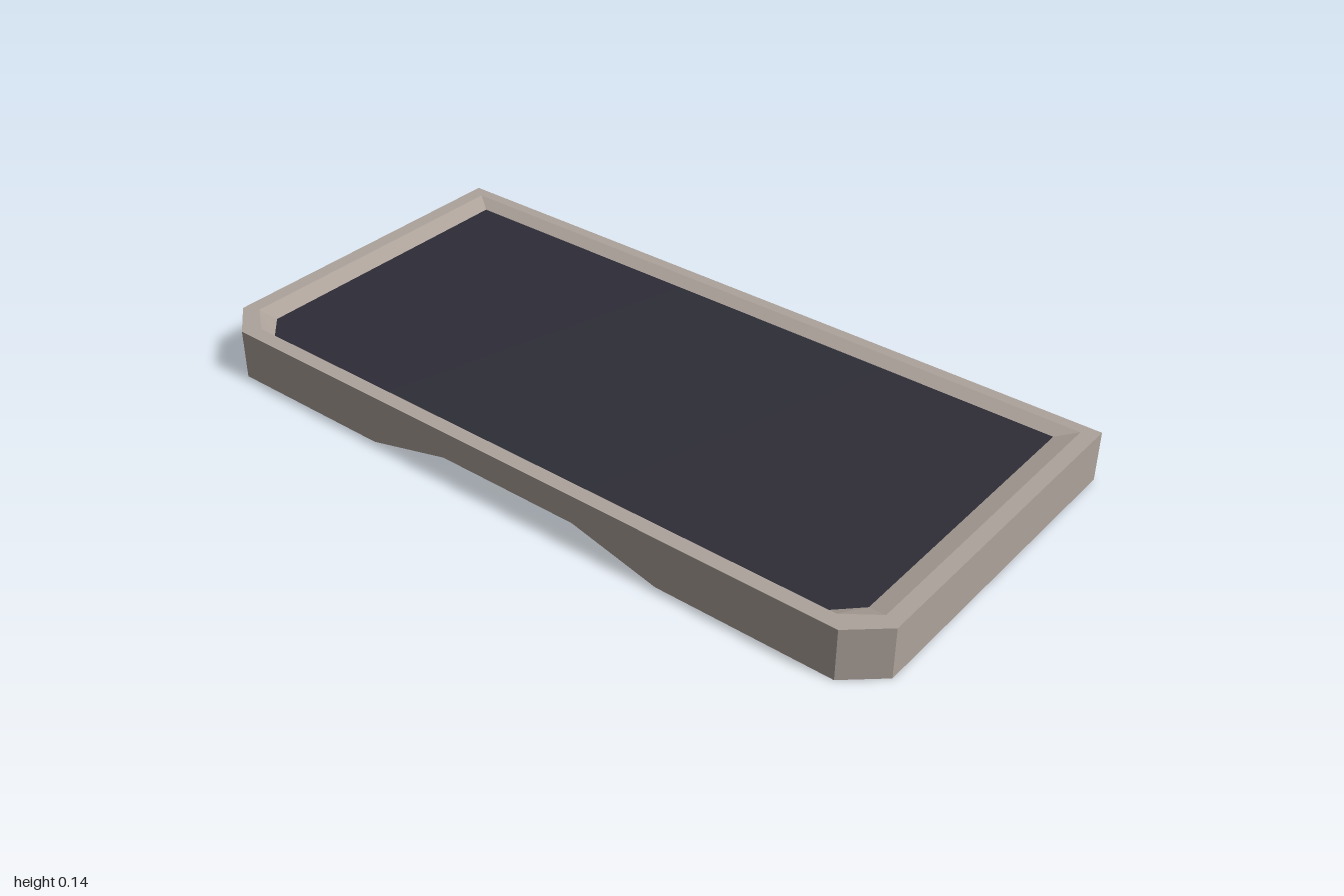
import * as THREE from 'three';

const HEIGHT = 0.135, RECESS = 0.016;

// Underside height: flat feet at both ends with a raised arch between them
const arch = x => 0.06 * THREE.MathUtils.clamp((0.44 - Math.abs(x)) / 0.24, 0, 1);

// Outline of 16 points: front edge left to right with cut corners, then the back edge
function outline(w, cut, back, side, front) {
  const xs = [-w, -cut, -0.44, -0.2, 0.2, 0.44, cut, w];
  const frontEdge = xs.map((x, i) => [x, i === 0 || i === 7 ? side : front]);
  const backEdge = xs.slice().reverse().map(x => [x, back]);
  return [...frontEdge, ...backEdge];
}

const atTop = (loop, drop) => loop.map(([x, z]) => [x, HEIGHT - drop, z]);
const atBottom = (loop, lift) => loop.map(([x, z]) => [x, arch(x) + lift, z]);

// Quads between two outlines, for segments from..to
function band(a, b, from = 0, to = 16) {
  const quads = [];
  for (let i = from; i < to; i++) {
    const j = (i + 1) % 16;
    quads.push([a[i], a[j], b[j], b[i]]);
  }
  return quads;
}

// Fill of an outline, as strips joining the front edge to the back edge
function fill(p) {
  const quads = [];
  for (let i = 0; i < 7; i++) quads.push([p[i], p[i + 1], p[14 - i], p[15 - i]]);
  return quads;
}

function quadMesh(name, quads, material, flip = false) {
  const pos = [];
  for (const q of quads) {
    const [a, b, c, d] = flip ? q.slice().reverse() : q;
    pos.push(...a, ...b, ...c, ...a, ...c, ...d);
  }
  const g = new THREE.BufferGeometry();
  g.setAttribute('position', new THREE.Float32BufferAttribute(pos, 3));
  g.computeVertexNormals();
  const mesh = new THREE.Mesh(g, material);
  mesh.name = name;
  return mesh;
}

export function createModel() {
  const frame = new THREE.MeshStandardMaterial({ color: 0xada39b });
  frame.name = 'warm grey frame';
  const dark = new THREE.MeshStandardMaterial({ color: 0x2e2d37 });
  dark.name = 'dark panel';

  const outer = outline(1, 0.91, -0.485, 0.405, 0.485);
  const lip = outline(0.96, 0.88, -0.455, 0.385, 0.445);
  const inner = outline(0.91, 0.85, -0.42, 0.37, 0.43);

  const topOuter = atTop(outer, 0), topLip = atTop(lip, 0), topInner = atTop(inner, RECESS);
  const lowOuter = atBottom(outer, 0), lowLip = atBottom(lip, 0), lowInner = atBottom(inner, RECESS);

  const group = new THREE.Group();
  group.name = 'tray';
  group.add(
    // Outer walls, with the dark one at the back
    quadMesh('frontAndSideWalls', [...band(lowOuter, topOuter, 0, 8), ...band(lowOuter, topOuter, 15, 16)], frame),
    quadMesh('backWall', band(lowOuter, topOuter, 8, 15), dark),
    // Flat rim and sloped edge above and below
    quadMesh('topRim', band(topOuter, topLip), frame),
    quadMesh('topBevel', band(topLip, topInner), frame),
    quadMesh('bottomRim', band(lowOuter, lowLip), frame, true),
    quadMesh('bottomBevel', band(lowLip, lowInner), frame, true),
    // Recessed panels
    quadMesh('topPanel', fill(topInner), dark),
    quadMesh('bottomPanel', fill(lowInner), dark, true)
  );
  return group;
}
